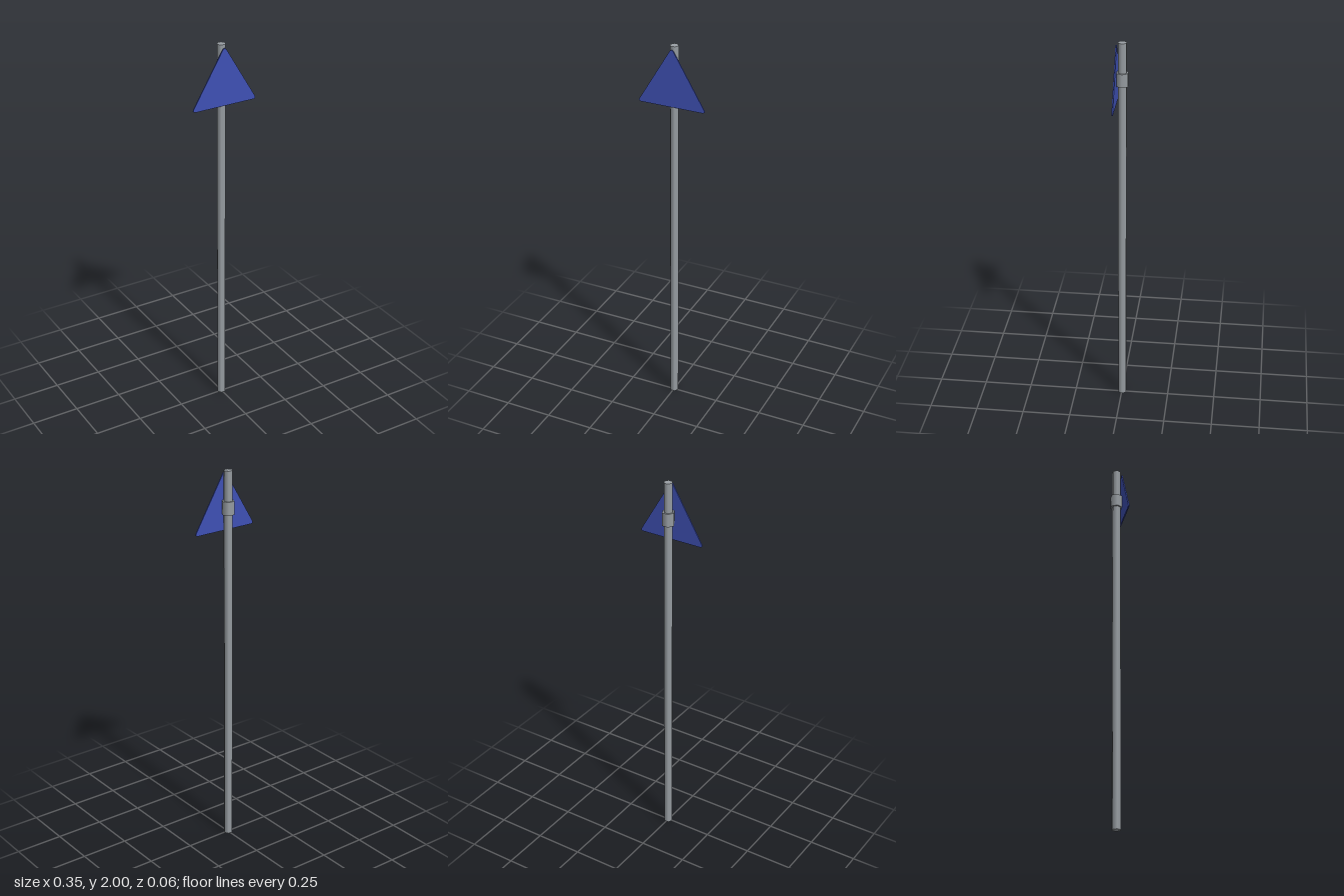
import * as THREE from 'three';

export function createModel() {
  const model = new THREE.Group();
  const steel = new THREE.MeshStandardMaterial({ color: 0x9aa0a5 });
  steel.name = 'galvanised grey';
  const blue = new THREE.MeshStandardMaterial({ color: 0x3f51b5 });
  blue.name = 'sign blue';

  // Six-sided upright tube with its corners on the x axis
  function hexTube(name, radius, bottom, top) {
    const geometry = new THREE.CylinderGeometry(radius, radius, top - bottom, 6);
    geometry.rotateY(Math.PI / 2);
    const mesh = new THREE.Mesh(geometry, steel);
    mesh.name = name;
    mesh.position.set(0, (bottom + top) / 2, -0.003);
    model.add(mesh);
  }
  hexTube('pole', 0.0235, 0, 2);
  hexTube('clampCollar', 0.0325, 1.78, 1.848);

  // Thin triangular plate with rounded corners
  const outline = new THREE.Shape();
  outline.moveTo(-0.16, 1.692);
  outline.lineTo(0.16, 1.692);
  outline.quadraticCurveTo(0.181, 1.692, 0.171, 1.709);
  outline.lineTo(0.012, 1.975);
  outline.quadraticCurveTo(0, 1.995, -0.012, 1.975);
  outline.lineTo(-0.171, 1.709);
  outline.quadraticCurveTo(-0.181, 1.692, -0.16, 1.692);
  const plate = new THREE.Mesh(
    new THREE.ExtrudeGeometry(outline, { depth: 0.006, bevelEnabled: false, curveSegments: 6 }),
    blue
  );
  plate.name = 'signPlate';
  plate.position.z = 0.024;
  model.add(plate);

  return model;
}
